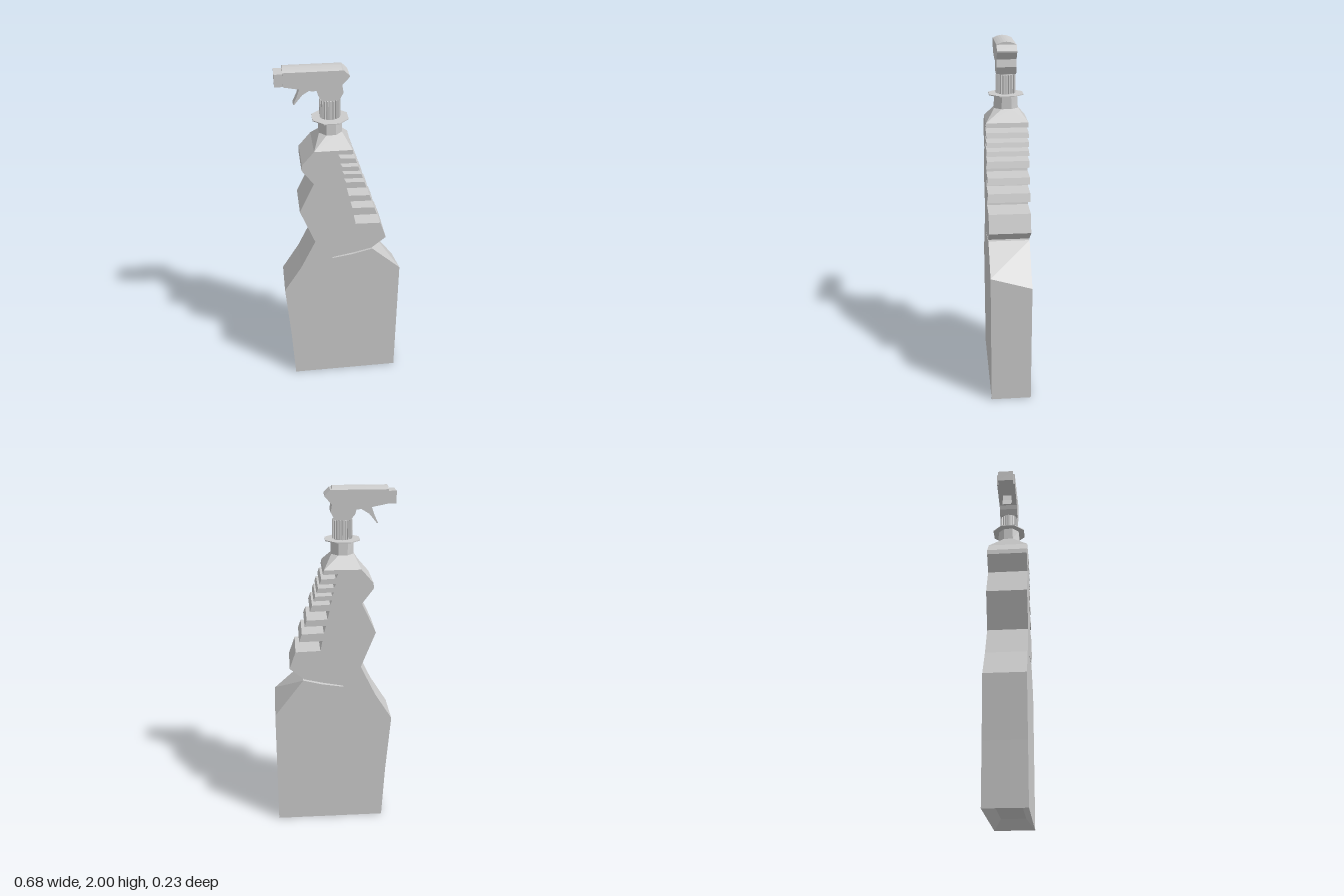
import * as THREE from 'three';

const grey = new THREE.MeshStandardMaterial({ color: 0xcccccc, flatShading: true, side: THREE.DoubleSide });
const AXIS = -0.055; // x of the neck axis
const HALF = 0.115; // half thickness of the bottle

function mesh(name, geometry, parent) {
  const m = new THREE.Mesh(geometry, grey);
  m.name = name;
  parent.add(m);
  return m;
}

// Extrude an xy outline symmetrically about z = 0
function slab(points, halfDepth) {
  const shape = new THREE.Shape(points.map(([x, y]) => new THREE.Vector2(x, y)));
  const g = new THREE.ExtrudeGeometry(shape, { depth: halfDepth * 2, bevelEnabled: false });
  return g.translate(0, 0, -halfDepth);
}

// Skin between closed rings of equal point count, listed bottom to top
function loft(rings) {
  const n = rings[0].length, pos = rings.flat(2), idx = [];
  for (let r = 0; r < rings.length - 1; r++) {
    for (let i = 0; i < n; i++) {
      const a = r * n + i, b = r * n + (i + 1) % n;
      idx.push(a, a + n, b, b, a + n, b + n);
    }
  }
  const g = new THREE.BufferGeometry();
  g.setAttribute('position', new THREE.Float32BufferAttribute(pos, 3));
  g.setIndex(idx);
  const flat = g.toNonIndexed();
  flat.computeVertexNormals();
  return flat;
}

// Eight-point rings: an octagon, and a rectangle with doubled corners
const octagon = (rx, rz, y) => Array.from({ length: 8 }, (_, i) => {
  const a = (i + 0.5) * Math.PI / 4, k = 1 / Math.cos(Math.PI / 8);
  return [AXIS + rx * k * Math.cos(a), y, rz * k * Math.sin(a)];
});
const rectangle = (x0, x1, z, y) => [[x1, z], [x0, z], [x0, -z], [x1, -z]]
  .flatMap(([x, zz]) => [[x, y, zz], [x, y, zz]]);

function bodyGeometry() {
  // Grip slots on the sloping edge: bottom y, top y, inner x
  const slots = [
    [1.115, 1.175, 0.06], [1.22, 1.265, 0.04], [1.3, 1.35, 0.02], [1.385, 1.41, 0.005],
    [1.435, 1.455, -0.005], [1.48, 1.502, -0.015], [1.53, 1.555, -0.025],
  ];
  const edgeX = y => 0.21 - (y - 1.115) * 0.352;
  const outline = [
    [-0.3, 0], [0.335, 0], [0.335, 0.79], [0.17, 0.94], [0.06, 0.912], [-0.06, 0.893],
    [-0.06, 0.9], [0.06, 0.923], [0.165, 0.948], [0.245, 1.015],
  ];
  for (const [low, high, x] of slots) {
    outline.push([edgeX(low), low], [x + 0.012, low + 0.004], [x, high + 0.003], [edgeX(high), high]);
  }
  outline.push(
    [0.05, 1.58], [-0.15, 1.58], [-0.215, 1.505], [-0.218, 1.475], [-0.155, 1.39],
    [-0.235, 1.22], [-0.155, 1.015], [-0.24, 0.84], [-0.34, 0.68], [-0.315, 0.33],
  );
  const g = slab(outline, HALF);
  const p = g.attributes.position, kept = [];
  for (let i = 0; i < p.count; i += 3) {
    // leave the base open for the recess
    if (Math.max(p.getY(i), p.getY(i + 1), p.getY(i + 2)) < 0.001) continue;
    for (let j = i; j < i + 3; j++) {
      const x = p.getX(j), z = p.getZ(j);
      let y = p.getY(j);
      if (x > 0.33 && y > 0.7 && z < 0) y = 0.72; // rear shoulder sits lower
      kept.push(x, y, z);
    }
  }
  const body = new THREE.BufferGeometry();
  body.setAttribute('position', new THREE.Float32BufferAttribute(kept, 3));
  body.computeVertexNormals();
  return body;
}

export function createModel() {
  const model = new THREE.Group();
  model.name = 'sprayBottle';

  // Bottle
  const bottle = new THREE.Group();
  bottle.name = 'bottle';
  model.add(bottle);
  mesh('body', bodyGeometry(), bottle);
  mesh('baseRecess', loft([
    rectangle(-0.3, 0.335, HALF, 0),
    rectangle(-0.22, 0.25, 0.07, 0.05),
    rectangle(0.015, 0.016, 0.001, 0.05),
  ]), bottle);
  mesh('shoulderAndNeck', loft([
    rectangle(-0.15, 0.05, HALF, 1.58),
    octagon(0.06, 0.065, 1.645),
    octagon(0.06, 0.06, 1.72),
  ]), bottle);
  mesh('neckFlange', loft([
    octagon(0.001, 0.001, 1.717), octagon(0.093, 0.093, 1.717),
    octagon(0.093, 0.093, 1.722), octagon(0.001, 0.001, 1.722),
  ]), bottle);

  // Ribbed collar
  const collar = new THREE.Group();
  collar.name = 'collar';
  collar.position.set(AXIS, 1.775, 0);
  model.add(collar);
  mesh('collarCore', new THREE.CylinderGeometry(0.046, 0.046, 0.11, 20), collar);
  for (let i = 0; i < 20; i++) {
    const a = i * Math.PI / 10;
    const rib = mesh('collarRib', new THREE.BoxGeometry(0.012, 0.1, 0.008), collar);
    rib.position.set(0.048 * Math.cos(a), 0, 0.048 * Math.sin(a));
    rib.rotation.y = -a;
  }

  // Spray head
  const head = new THREE.Group();
  head.name = 'sprayHead';
  model.add(head);
  mesh('headHousing', slab([
    [-0.29, 1.912], [-0.15, 1.885], [-0.125, 1.885], [-0.118, 1.86], [-0.095, 1.83],
    [-0.012, 1.83], [0.01, 1.87], [0.003, 1.91], [0.04, 1.95], [0.04, 1.958],
    [0.012, 1.985], [-0.29, 1.985],
  ], 0.053), head);

  // Shallow curved crown running along the head
  const crownShape = new THREE.Shape();
  for (let i = 0; i <= 8; i++) {
    const t = i / 4 - 1;
    crownShape[i ? 'lineTo' : 'moveTo'](t * 0.053, 1.985 + 0.015 * (1 - t * t));
  }
  const crown = new THREE.ExtrudeGeometry(crownShape, { depth: 0.292, bevelEnabled: false });
  mesh('headCrown', crown.rotateY(Math.PI / 2).translate(-0.29, 0, 0), head);

  const nozzle = mesh('nozzle', new THREE.BoxGeometry(0.05, 0.065, 0.088), head);
  nozzle.position.set(-0.308, 1.943, 0);
  mesh('trigger', slab([
    [-0.205, 1.9], [-0.222, 1.85], [-0.243, 1.805], [-0.236, 1.806],
    [-0.195, 1.855], [-0.145, 1.885], [-0.145, 1.9],
  ], 0.025), head);

  return model;
}
